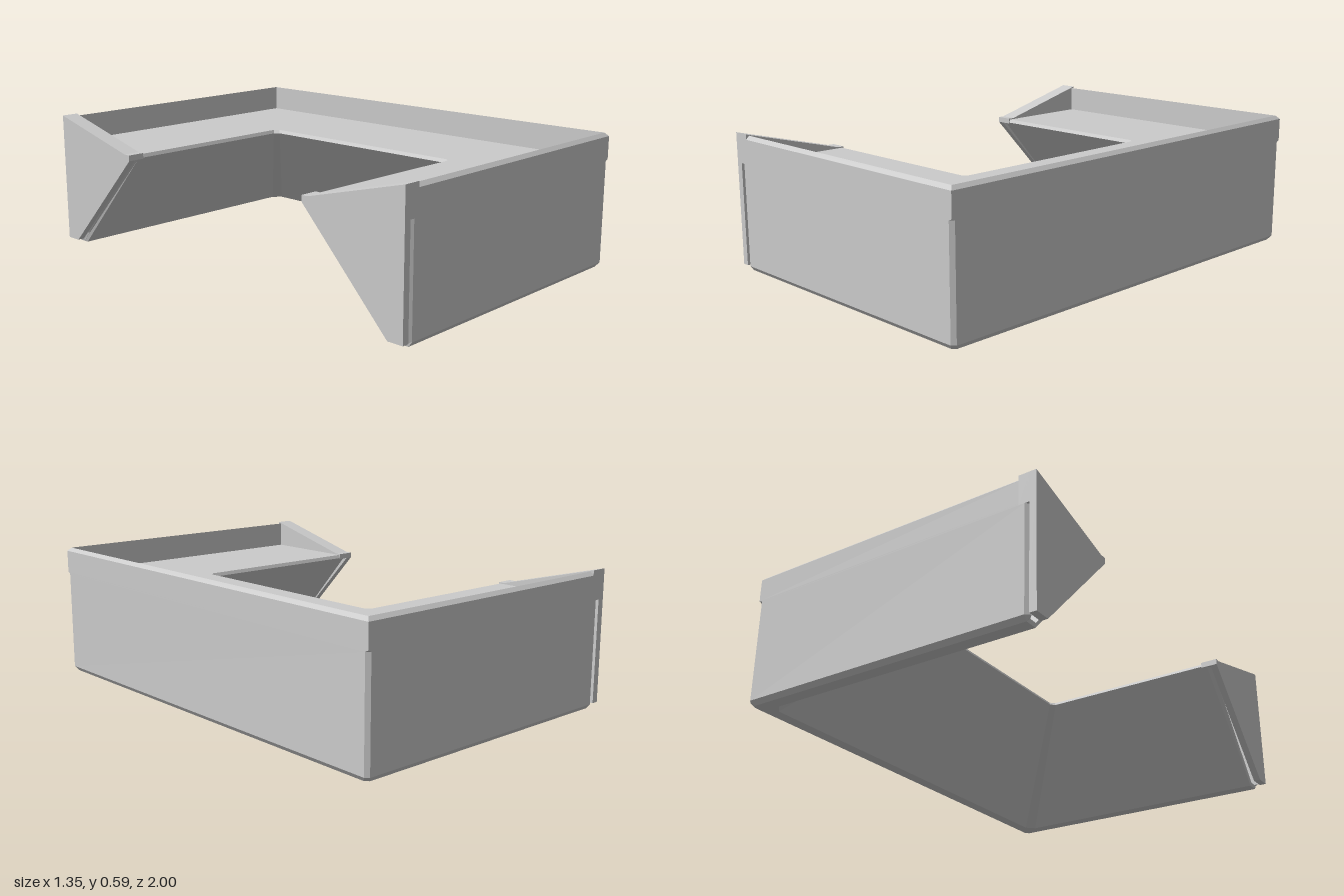
import * as THREE from 'three';

const X = 0.675, Z = 1, END = -0.645; // outer right edge, outer front edge, open ends
const GROOVE = 0.02;
const material = new THREE.MeshStandardMaterial({ color: 0xcccccc, flatShading: true, side: THREE.DoubleSide });

// Counter cross-section: [inset d, height y, corner cut c, end-groove offset in d, in y]
const PROFILE = [
  [0.015, 0, 0.015, 0.015, 0.015],
  [0, 0.02, 0.015, 0.015, 0],
  [0, 0.465, 0.015, 0.015, 0],
  [0, 0.472, 0, 0, 0],
  [0, 0.57, 0, 0, 0],
  [0.015, 0.585, 0, 0, 0],
  [0.015, 0.47, 0, 0, 0],
  [0.477, 0.47, 0.02, 0, 0],
  [0.485, 0.455, 0.02, -0.015, 0.005],
  [0.07, 0, 0.035, -0.005, 0.015],
];

// Sweeps one profile point round the U-shaped plan, front end to back end
function uPath([d, y, c, od, oy]) {
  const x = X - d * 0.97, z = Z - d;
  const start = y === 0 ? END + 0.015 : END;
  const half = [
    [start, y + oy, z - od],
    [END + GROOVE, y, z],
    [x - c, y, z],
    [x, y, z - c],
  ];
  return [...half, ...half.map(([px, py, pz]) => [px, py, -pz]).reverse()];
}

function counterGeometry() {
  const lines = PROFILE.map(uPath);
  const positions = [];
  lines.forEach((line, j) => {
    const next = lines[(j + 1) % lines.length];
    for (let i = 0; i < line.length - 1; i++) {
      const a = line[i], b = line[i + 1], c = next[i + 1], d = next[i];
      positions.push(...a, ...b, ...c, ...a, ...c, ...d);
    }
  });
  const geometry = new THREE.BufferGeometry();
  geometry.setAttribute('position', new THREE.Float32BufferAttribute(positions, 3));
  geometry.computeVertexNormals();
  return geometry;
}

// Extrudes an (inset, height) outline along x; side is +1 front, -1 back
function slab(outline, side, x0, x1) {
  const shape = new THREE.Shape(outline.map(([d, y]) => new THREE.Vector2(side * (Z - d), y)));
  const geometry = new THREE.ExtrudeGeometry(shape, { depth: x1 - x0, bevelEnabled: false });
  return geometry.rotateY(-Math.PI / 2).translate(x1, 0, 0);
}

export function createModel() {
  const group = new THREE.Group();
  group.name = 'counter';
  const add = (name, geometry) => {
    const mesh = new THREE.Mesh(geometry, material);
    mesh.name = name;
    group.add(mesh);
  };

  // U-shaped body: outer wall with rim, lower top, sloping underside
  add('counterBody', counterGeometry());

  // End panels with a wider sloping cap on each arm
  const top = [[0, 0.592], [0.455, 0.475], [0.485, 0.475], [0.485, 0.45]];
  for (const [label, side] of [['front', 1], ['back', -1]]) {
    add(label + 'EndPanel', slab([[0, 0.02], ...top, [0.07, 0.02]], side, -X, END));
    add(label + 'EndCap', slab([[0, 0.465], ...top, [0.47, 0.45]], side, END, -0.6));
  }
  return group;
}
